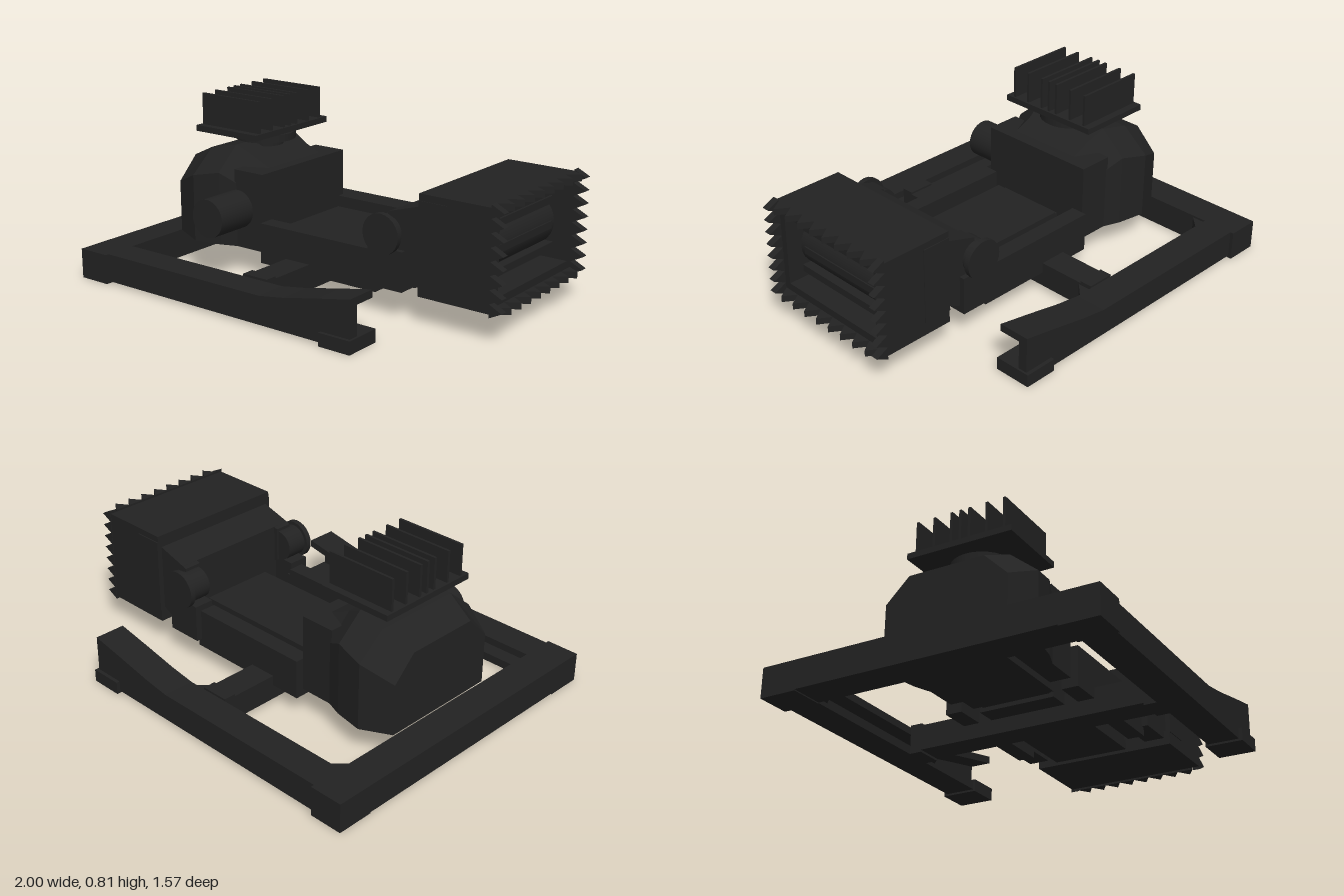
import * as THREE from 'three';

const darkMetal = new THREE.MeshStandardMaterial({ color: 0x222222 });
darkMetal.name = 'darkMetal';

export function createModel() {
  const root = new THREE.Group();
  root.name = 'demolitionMachine';

  const add = (name, geo, parent = root) => {
    const m = new THREE.Mesh(geo, darkMetal);
    m.name = name;
    parent.add(m);
    return m;
  };
  // Box from its minimum and maximum extents
  const box = (name, x0, x1, y0, y1, z0, z1, parent = root) => {
    const m = add(name, new THREE.BoxGeometry(x1 - x0, y1 - y0, z1 - z0), parent);
    m.position.set((x0 + x1) / 2, (y0 + y1) / 2, (z0 + z1) / 2);
    return m;
  };
  // Side-view outline (x, y) extruded from z0 to z1
  const slab = (name, pts, z0, z1, parent = root) => {
    const shape = new THREE.Shape(pts.map(p => new THREE.Vector2(p[0], p[1])));
    const geo = new THREE.ExtrudeGeometry(shape, { depth: z1 - z0, bevelEnabled: false });
    const m = add(name, geo, parent);
    m.position.z = z0;
    return m;
  };
  // Cylinder lying along z
  const axle = (name, x, y, r, z0, z1, sides = 24) => {
    const geo = new THREE.CylinderGeometry(r, r, z1 - z0, sides);
    const m = add(name, geo.rotateX(Math.PI / 2));
    m.position.set(x, y, (z0 + z1) / 2);
    return m;
  };
  // The same part on the +z and -z sides
  const both = (fn) => {
    for (const s of [1, -1]) fn((a, b) => (s > 0 ? [a, b] : [-b, -a]), s);
  };

  // Base frame: channel rails that open inward and rise toward the front
  const railTop = [[-0.955, 0.14], [0.07, 0.14], [0.2, 0.16], [0.38, 0.197], [0.55, 0.23]];
  const lowered = railTop.map(([x, y]) => [x, y - 0.035]).reverse();
  both((z) => {
    slab('railWeb', [[-0.955, 0.01], [0.55, 0.01], ...[...railTop].reverse()], ...z(0.725, 0.77));
    slab('railTopFlange', [...railTop, ...lowered].reverse(), ...z(0.62, 0.725));
    box('railBottomFlange', -0.955, 0.55, 0.01, 0.05, ...z(0.62, 0.725));
    box('frontFoot', 0.4, 0.56, 0, 0.06, ...z(0.61, 0.787));
    box('rearFoot', -1, -0.84, 0, 0.06, ...z(0.61, 0.787));
    box('crossBeamEndPlate', -0.15, -0.015, 0.01, 0.15, ...z(0.56, 0.62));
  });
  box('rearBeam', -1, -0.84, 0.005, 0.14, -0.787, 0.787);
  box('crossBeam', -0.15, -0.015, 0.02, 0.14, -0.62, 0.62);

  // Triangular corner gussets
  for (const x of [-0.84, -0.015]) {
    const tri = new THREE.Shape([[0, 0], [0.07, 0], [0, 0.07]].map(p => new THREE.Vector2(...p)));
    const geo = new THREE.ExtrudeGeometry(tri, { depth: 0.1, bevelEnabled: false });
    const g = add('gusset', geo.rotateX(Math.PI / 2));
    g.position.set(x, 0.13, -0.62);
  }

  // Boom and the side beams beside it
  box('boom', -0.25, 0.46, 0.09, 0.25, -0.185, 0.185);
  box('boomEndPad', -0.28, -0.25, 0.11, 0.23, -0.17, 0.17);
  both((z) => {
    box('sideBeam', -0.3, 0.35, 0.09, 0.25, ...z(0.25, 0.33));
    box('sideBeamCap', -0.3, 0.33, 0.25, 0.28, ...z(0.25, 0.33));
    box('pivotBracket', 0.33, 0.51, 0.13, 0.31, ...z(0.26, 0.36));
    axle('pivotDrum', 0.417, 0.378, 0.075, ...z(0.26, 0.37));
    axle('pivotCap', 0.417, 0.378, 0.092, ...z(0.362, 0.388));
    slab('headArm', [[0.42, 0.3], [0.51, 0.255], [0.59, 0.235], [0.59, 0.52], [0.42, 0.468]],
      ...z(0.25, 0.335));
  });
  slab('headNeck', [[0.44, 0.13], [0.59, 0.2], [0.59, 0.52], [0.44, 0.475]], -0.335, 0.335);

  // Hollow head, open at the front
  const outline = new THREE.Shape();
  outline.moveTo(-0.355, 0.13).lineTo(0.355, 0.13).lineTo(0.355, 0.58).lineTo(-0.355, 0.58);
  const opening = new THREE.Path();
  opening.moveTo(-0.29, 0.185).lineTo(-0.29, 0.525).lineTo(0.29, 0.525).lineTo(0.29, 0.185);
  outline.holes.push(opening);
  const head = new THREE.Group();
  head.name = 'head';
  root.add(head);
  const shell = add('headShell', new THREE.ExtrudeGeometry(outline,
    { depth: 0.26, bevelEnabled: false }).rotateY(Math.PI / 2), head);
  shell.position.x = 0.68;
  box('headBack', 0.59, 0.68, 0.13, 0.58, -0.355, 0.355, head);
  both((z) => box('headSidePanel', 0.59, 0.73, 0.19, 0.55, ...z(0.354, 0.359), head));
  const roller = axle('roller', 0.76, 0.36, 0.12, -0.27, 0.27);
  head.add(roller);
  for (const [y, w] of [[0.47, 0.24], [0.355, 0.24], [0.255, 0.26]]) {
    box('rollerBar', 0.68, 0.885, y - 0.017, y + 0.017, -w, w, head);
  }

  // Pointed teeth around the opening
  const tooth = (pitch, thick) => {
    const s = new THREE.Shape([[0, -pitch / 2], [0.06, 0], [0, pitch / 2]]
      .map(p => new THREE.Vector2(...p)));
    return new THREE.ExtrudeGeometry(s, { depth: thick, bevelEnabled: false })
      .translate(0, 0, -thick / 2);
  };
  const n = 8;
  const sideTooth = tooth(0.06, 0.035);
  const rowTooth = tooth(0.08, 0.03).rotateX(Math.PI / 2);
  for (const s of [-1, 1]) {
    for (let i = 0; i < n; i++) {
      const t = i - (n - 1) / 2;
      add('sideTooth', sideTooth, head).position.set(0.94, 0.355 + t * 0.06, s * 0.34);
      add('rowTooth', rowTooth, head).position.set(0.94, 0.355 + s * 0.22, t * 0.08);
    }
  }

  // Engine housing: chamfered sections lofted along x [x, half width, bottom, top]
  const stations = [
    [-0.835, 0.295, 0.14, 0.495], [-0.69, 0.355, 0.13, 0.56], [-0.55, 0.33, 0.13, 0.588],
    [-0.47, 0.3, 0.13, 0.545], [-0.37, 0.3, 0.14, 0.5],
  ];
  const section = ([x, w, b, t]) => {
    const c = t - 0.11;
    return [[w, b], [w, c], [w * 0.62, t], [-w * 0.62, t], [-w, c], [-w, b]]
      .map(([z, y]) => [x, y, z]);
  };
  const rings = stations.map(section);
  const pos = [];
  const face = (...v) => v.forEach(p => pos.push(...p));
  for (let i = 0; i < rings.length - 1; i++) {
    for (let j = 0; j < 6; j++) {
      const k = (j + 1) % 6;
      const [a, b, c, d] = [rings[i][j], rings[i + 1][j], rings[i + 1][k], rings[i][k]];
      face(a, b, c, a, c, d);
    }
  }
  const first = rings[0], last = rings[rings.length - 1];
  for (let j = 1; j < 5; j++) {
    face(first[0], first[j], first[j + 1]);
    face(last[0], last[j + 1], last[j]);
  }
  const housing = new THREE.BufferGeometry();
  housing.setAttribute('position', new THREE.Float32BufferAttribute(pos, 3));
  housing.computeVertexNormals();
  add('engineHousing', housing);
  box('housingFront', -0.48, -0.31, 0.13, 0.5, -0.3, 0.3);
  box('housingBelly', -0.75, -0.28, 0.1, 0.14, -0.2, 0.2);
  axle('exhaust', -0.46, 0.315, 0.09, 0.28, 0.51, 28);

  // Turntable and cooling rack
  const disc = (name, r, y0, y1) => {
    add(name, new THREE.CylinderGeometry(r, r, y1 - y0, 28)).position.set(-0.545, (y0 + y1) / 2, 0);
  };
  disc('turntableNeck', 0.085, 0.56, 0.64);
  disc('turntable', 0.145, 0.59, 0.625);
  box('turntableLatch', -0.57, -0.52, 0.615, 0.64, -0.18, -0.14);
  box('rackPlate', -0.75, -0.38, 0.637, 0.665, -0.26, 0.26);
  for (const z of [-0.218, -0.132, -0.045, 0, 0.045, 0.132, 0.218]) {
    box('coolingFin', -0.74, -0.39, 0.66, 0.815, z - 0.006, z + 0.006);
  }

  return root;
}
